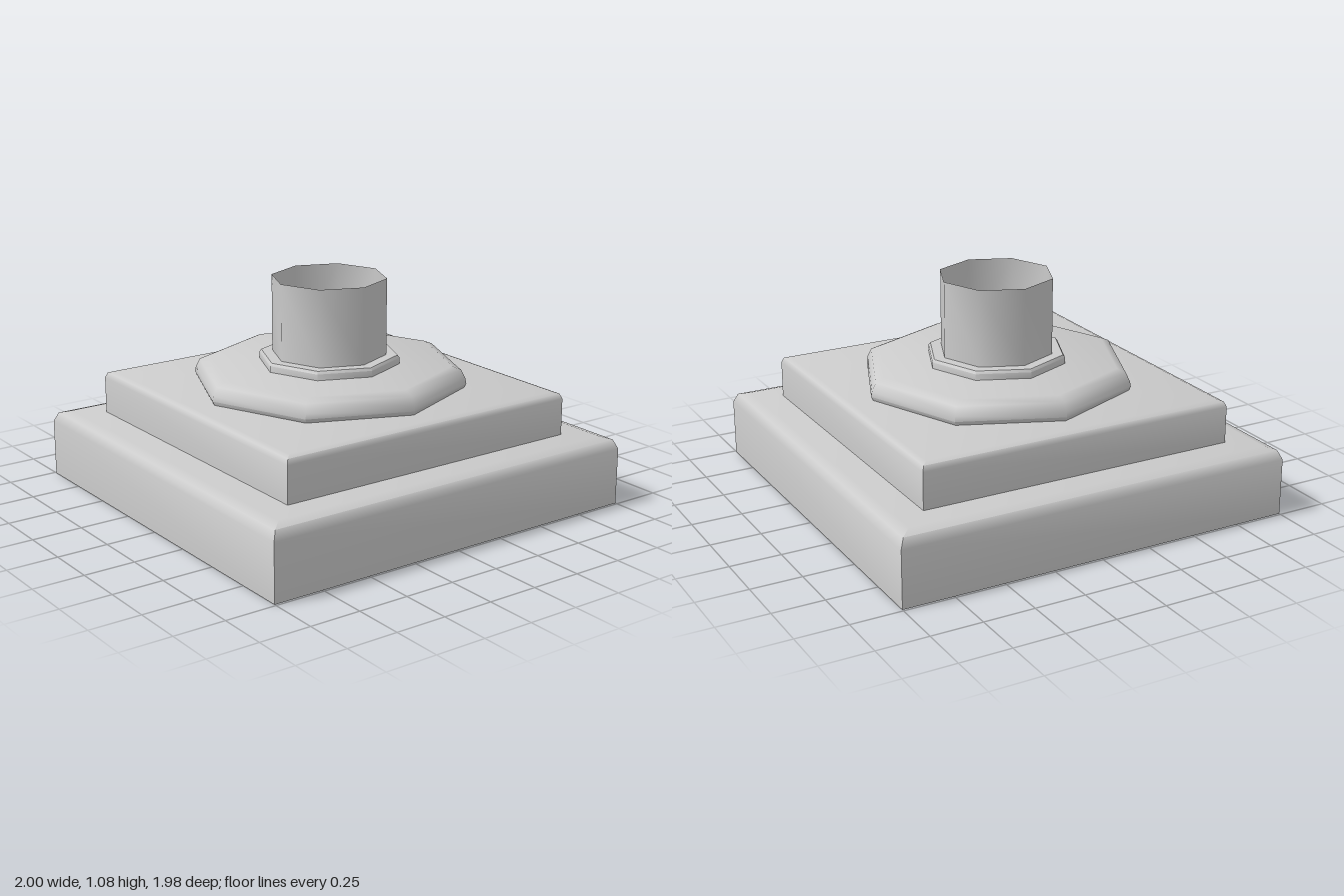
import * as THREE from 'three';
import { toCreasedNormals } from 'three/addons/utils/BufferGeometryUtils.js';

const material = new THREE.MeshStandardMaterial({ color: 0xcccccc, side: THREE.DoubleSide });

// Turns a [radius, height] profile around y; an eight-sided ring has corners on the axes.
function turned(name, profile, sides) {
  const points = profile.map(([r, y]) => new THREE.Vector2(r, y));
  const geometry = new THREE.LatheGeometry(points, sides);
  if (sides === 4) geometry.rotateY(Math.PI / 4).scale(Math.SQRT2, 1, Math.SQRT2);
  const mesh = new THREE.Mesh(toCreasedNormals(geometry, 0.9), material);
  mesh.name = name;
  return mesh;
}

export function createModel() {
  const group = new THREE.Group();
  group.name = 'pedestalBase';

  // Square plinth, hollow and open underneath
  const plinth = turned('plinth', [[1, 0], [1, 0.28], [0.98, 0.325], [0.93, 0.34], [0, 0.34]], 4);
  plinth.scale.z = 0.99;

  // Smaller square step
  const step = turned('step', [[0.8, 0.34], [0.8, 0.52], [0.79, 0.545], [0.765, 0.555], [0, 0.555]], 4);

  // Octagonal cushion with a rounded rim
  const cushion = turned('cushion',
    [[0.66, 0.555], [0.67, 0.575], [0.665, 0.6], [0.645, 0.64], [0.6, 0.66], [0, 0.66]], 8);

  // Thin collar; its top also closes the bottom of the tube
  const collar = turned('collar',
    [[0.345, 0.66], [0.345, 0.69], [0.335, 0.703], [0.28, 0.703], [0, 0.703]], 8);

  // Open column stub
  const column = turned('column', [[0.28, 0.7], [0.28, 1.08]], 8);

  group.add(plinth, step, cushion, collar, column);
  return group;
}
